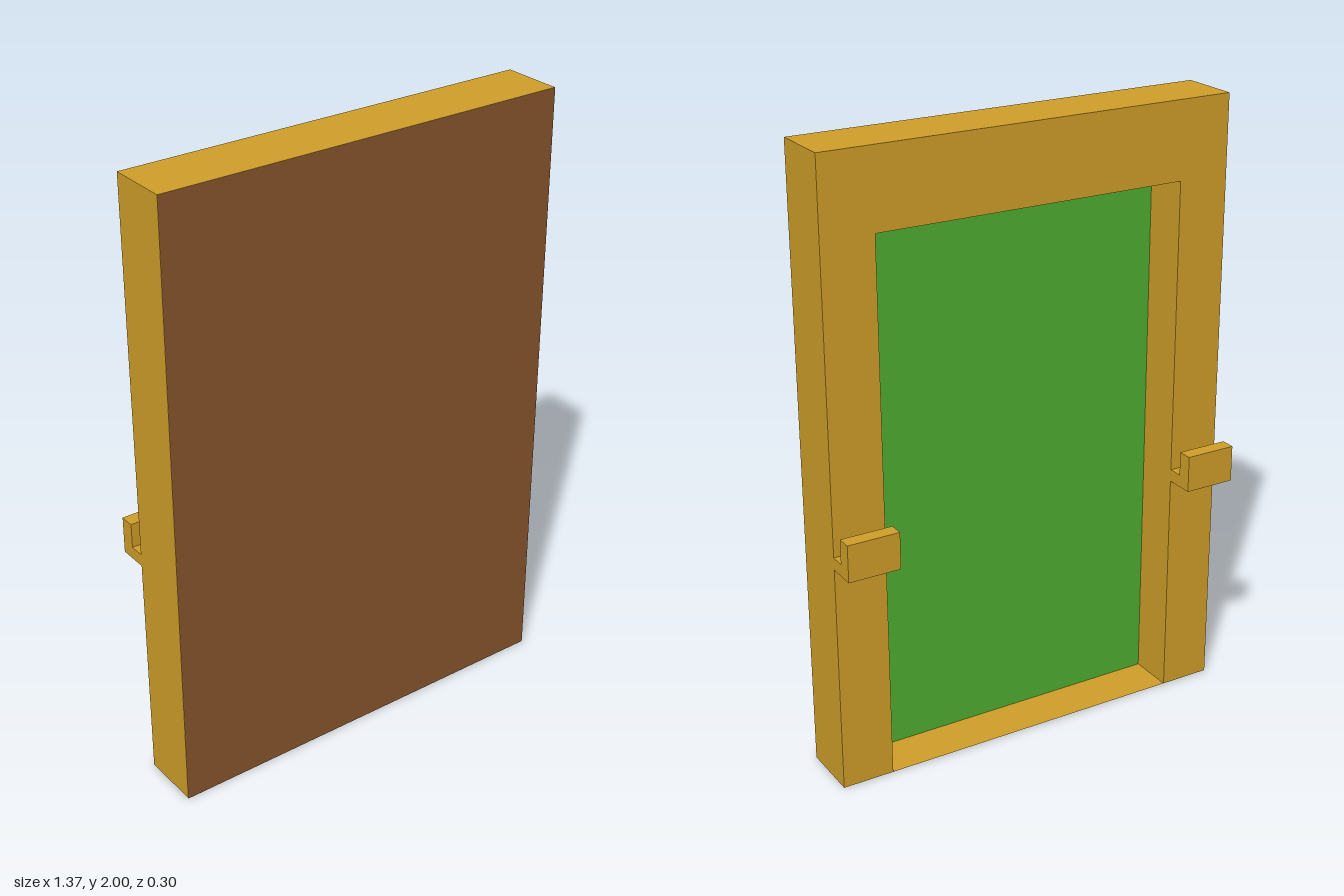
import * as THREE from 'three';

const GOLD = new THREE.MeshStandardMaterial({ color: 0xd2a02a });
const BROWN = new THREE.MeshStandardMaterial({ color: 0x8b572e });
const GREEN = new THREE.MeshStandardMaterial({ color: 0x50b033 });

const HALF = 0.685, INNER = 0.515;   // outer and inner half widths
const HEIGHT = 2, OPENING = 1.75;
const FRONT = 0.148, BACK = -0.052;
const DEPTH = FRONT - BACK, MID = (FRONT + BACK) / 2;
const SKIN = 0.001;                  // keeps neighbouring faces apart

function add(parent, name, geometry, material, x = 0, y = 0, z = 0) {
  const mesh = new THREE.Mesh(geometry, material);
  mesh.name = name;
  mesh.position.set(x, y, z);
  parent.add(mesh);
  return mesh;
}

function extrude(points, depth) {
  const shape = new THREE.Shape(points.map(([x, y]) => new THREE.Vector2(x, y)));
  return new THREE.ExtrudeGeometry(shape, { depth, bevelEnabled: false });
}

export function createModel() {
  const model = new THREE.Group();
  model.name = 'barredDoor';

  // Two posts and a lintel in one piece, open at the bottom
  add(model, 'frame', extrude([
    [-HALF, SKIN], [-INNER, SKIN], [-INNER, OPENING], [INNER, OPENING],
    [INNER, SKIN], [HALF, SKIN], [HALF, HEIGHT], [-HALF, HEIGHT],
  ], DEPTH - SKIN), GOLD, 0, 0, BACK);

  // Brown front skin and underside
  add(model, 'frontPanel', new THREE.PlaneGeometry(2 * HALF, HEIGHT), BROWN, 0, HEIGHT / 2, FRONT);
  add(model, 'underside', new THREE.PlaneGeometry(2 * HALF, DEPTH), BROWN, 0, 0, MID)
    .rotation.x = Math.PI / 2;

  // Recess: sill and green back panel
  add(model, 'sill', new THREE.PlaneGeometry(2 * INNER, DEPTH), GOLD, 0, SKIN, MID)
    .rotation.x = -Math.PI / 2;
  add(model, 'innerPanel', new THREE.PlaneGeometry(2 * INNER, OPENING), GREEN, 0, OPENING / 2, 0.1)
    .rotation.y = Math.PI;

  // L-shaped bar brackets on the back of the posts, drawn as (-z, y)
  const bracket = extrude([
    [-BACK, 0.755], [0.148, 0.755], [0.148, 0.875],
    [0.1, 0.875], [0.1, 0.795], [-BACK, 0.795],
  ], HALF - INNER);
  bracket.rotateY(Math.PI / 2);
  add(model, 'leftBracket', bracket, GOLD, INNER);
  add(model, 'rightBracket', bracket, GOLD, -HALF);

  return model;
}
